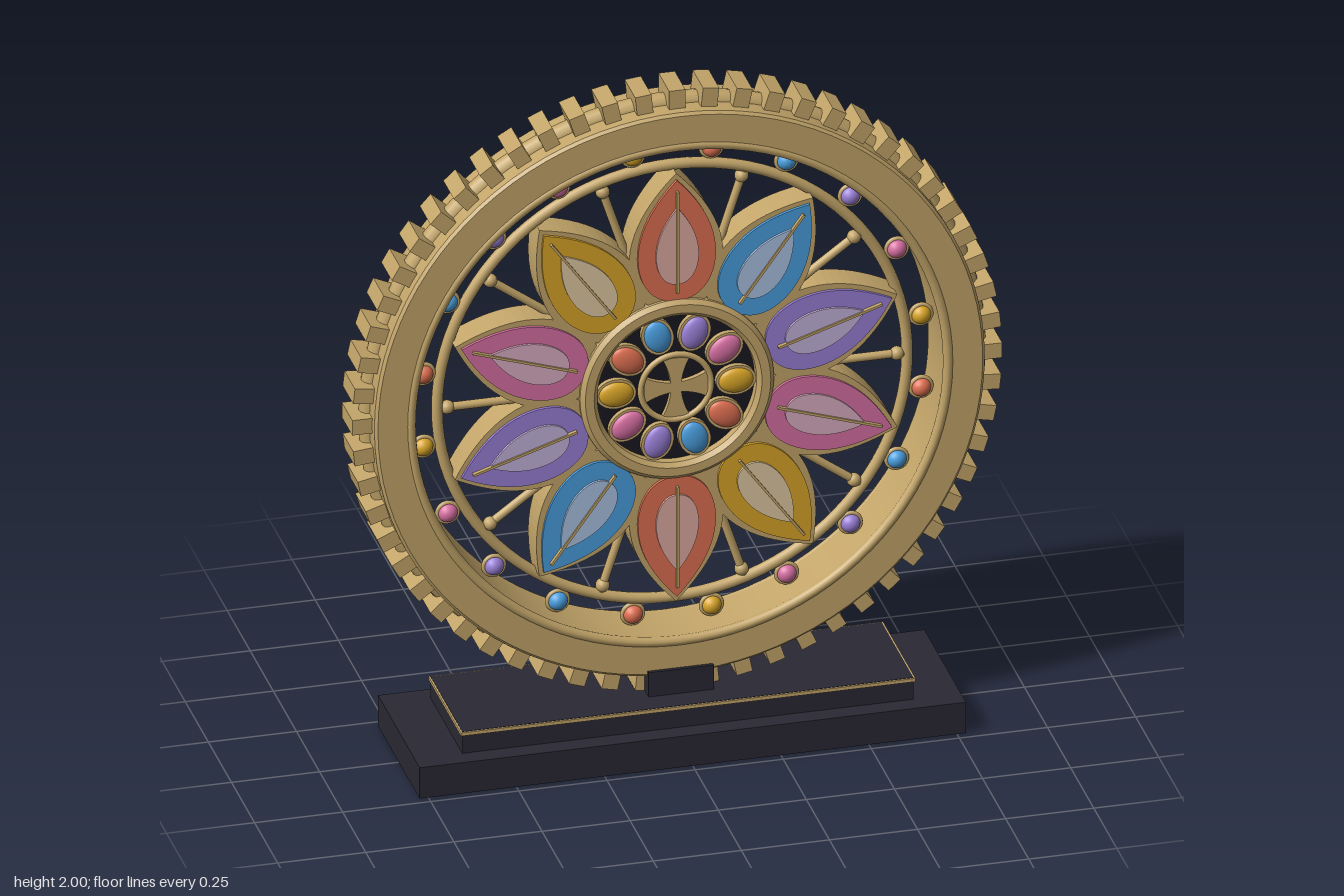
import * as THREE from 'three';

const mat = (color, extra = {}) => new THREE.MeshStandardMaterial({ color, ...extra });
const gold = mat(0xc4a66a);
const dark = mat(0x2a2833);
const black = mat(0x1a1822);
const CORAL = 0, BLUE = 1, PURPLE = 2, PINK = 3, AMBER = 4;
const enamel = [0xe07052, 0x4a9fe0, 0x9a80d8, 0xd870a4, 0xdaa628].map((c) => mat(c));
const pale = [0xe0aca4, 0xacc4e4, 0xc4b4dc, 0xdcaec4, 0xe2cca4].map((c) => mat(c));

function add(parent, name, geometry, material, x = 0, y = 0, z = 0) {
  const mesh = new THREE.Mesh(geometry, material);
  mesh.name = name;
  mesh.position.set(x, y, z);
  parent.add(mesh);
  return mesh;
}

function box(parent, name, w, h, d, material, x = 0, y = 0, z = 0) {
  return add(parent, name, new THREE.BoxGeometry(w, h, d), material, x, y, z);
}

// Repeats a part clockwise around the wheel; each copy is built along +y
function around(parent, name, count, offset, build) {
  for (let i = 0; i < count; i++) {
    const g = new THREE.Group();
    g.name = name;
    g.rotation.z = -(offset + (i / count) * Math.PI * 2);
    build(g, i);
    parent.add(g);
  }
}

// Ring with a chamfered rectangular section, its axis along z
function ringGeometry(inner, outer, half, c) {
  const p = [
    [inner, -half + c], [inner + c, -half], [outer - c, -half], [outer, -half + c],
    [outer, half - c], [outer - c, half], [inner + c, half], [inner, half - c], [inner, -half + c],
  ];
  const parts = new THREE.LatheGeometry(p.map(([r, z]) => new THREE.Vector2(r, z)), 96);
  parts.rotateX(Math.PI / 2);
  return parts;
}

// Pointed petal: rounded foot at r0, widest near the middle, sharp tip at r1
function petalShape(r0, r1, w) {
  const l = r1 - r0;
  const s = new THREE.Shape();
  s.moveTo(0, r0);
  s.bezierCurveTo(w * 0.75, r0, w * 1.05, r0 + l * 0.22, w, r0 + l * 0.42);
  s.bezierCurveTo(w * 0.95, r0 + l * 0.66, w * 0.45, r0 + l * 0.86, 0, r1);
  s.bezierCurveTo(-w * 0.45, r0 + l * 0.86, -w * 0.95, r0 + l * 0.66, -w, r0 + l * 0.42);
  s.bezierCurveTo(-w * 1.05, r0 + l * 0.22, -w * 0.75, r0, 0, r0);
  return s;
}

function slab(shape, z0, z1) {
  const g = new THREE.ExtrudeGeometry(shape, { depth: z1 - z0, bevelEnabled: false, curveSegments: 12 });
  return g.translate(0, 0, z0);
}

function ellipse(cy, rx, ry) {
  return new THREE.Shape().absellipse(0, cy, rx, ry, 0, Math.PI * 2);
}

function buildBase(root) {
  box(root, 'lowerPlinth', 1.55, 0.095, 0.45, dark, 0, 0.0475);
  box(root, 'upperPlinth', 1.28, 0.068, 0.342, dark, 0, 0.128);
  box(root, 'plinthTrim', 1.29, 0.01, 0.352, gold, 0, 0.156);
  box(root, 'wheelCradle', 0.185, 0.08, 0.2, dark, 0, 0.197);
}

function buildRim(wheel) {
  const rim = new THREE.Group();
  rim.name = 'rim';
  wheel.add(rim);
  const body = ringGeometry(0.75, 0.866, 0.09, 0.008);
  const flat = body.toNonIndexed();
  flat.deleteAttribute('normal');
  flat.computeVertexNormals();
  add(rim, 'rimBody', smoothRing(body), gold);
  add(rim, 'outerBead', new THREE.TorusGeometry(0.86, 0.03, 12, 96), gold);
  for (const s of [-1, 1]) {
    add(rim, 'innerLip', new THREE.TorusGeometry(0.763, 0.015, 10, 96), gold, 0, 0, s * 0.08);
  }
  around(rim, 'tooth', 60, 0, (g) => box(g, 'toothBlock', 0.046, 0.07, 0.114, gold, 0, 0.887));

  // Gems in the gap between the rim and the tracery ring
  around(rim, 'rimGem', 20, Math.PI / 20, (g, i) => {
    add(g, 'gemBezel', new THREE.TorusGeometry(0.029, 0.007, 8, 24), gold, 0, 0.715);
    add(g, 'gem', new THREE.SphereGeometry(0.028, 20, 14), enamel[i % 5], 0, 0.715);
  });
}

// Creases the lathe so the faces stay crisp while the circumference is smooth
function smoothRing(geometry) {
  const g = geometry.toNonIndexed();
  const p = g.attributes.position, n = g.attributes.normal;
  const a = new THREE.Vector3(), b = new THREE.Vector3(), c = new THREE.Vector3();
  const v = new THREE.Vector3();
  for (let i = 0; i < p.count; i += 3) {
    a.fromBufferAttribute(p, i);
    b.fromBufferAttribute(p, i + 1);
    c.fromBufferAttribute(p, i + 2);
    const face = b.clone().sub(a).cross(c.clone().sub(a)).normalize();
    const mid = a.clone().add(b).add(c);
    const radial = (face.x * mid.x + face.y * mid.y) / Math.hypot(mid.x, mid.y);
    [a, b, c].forEach((q, k) => {
      const r = Math.hypot(q.x, q.y);
      v.set((q.x / r) * radial, (q.y / r) * radial, face.z).normalize();
      n.setXYZ(i + k, v.x, v.y, v.z);
    });
  }
  return g;
}

function buildTracery(wheel) {
  add(wheel, 'traceryRing', new THREE.TorusGeometry(0.667, 0.016, 12, 96), gold);

  around(wheel, 'spoke', 10, Math.PI / 10, (g) => {
    add(g, 'spokeRod', new THREE.CylinderGeometry(0.012, 0.012, 0.42, 12), gold, 0, 0.45);
    add(g, 'spokeKnob', new THREE.SphereGeometry(0.02, 14, 10), gold, 0, 0.638);
  });

  const frame = slab(petalShape(0.235, 0.66, 0.133), -0.045, 0.045);
  const inlay = slab(petalShape(0.27, 0.642, 0.11), 0.04, 0.054);
  const heart = slab(petalShape(0.325, 0.56, 0.06), 0.05, 0.061);
  around(wheel, 'petal', 10, 0, (g, i) => {
    add(g, 'petalFrame', frame, gold);
    add(g, 'petalInlay', inlay, enamel[i % 5]);
    add(g, 'petalHeart', heart, pale[i % 5]);
    box(g, 'petalVein', 0.007, 0.31, 0.016, gold, 0, 0.455, 0.058);
  });
}

function buildHub(wheel) {
  const hub = new THREE.Group();
  hub.name = 'hub';
  wheel.add(hub);
  add(hub, 'hubRing', smoothRing(ringGeometry(0.226, 0.275, 0.066, 0.012)), gold);
  const disc = new THREE.CylinderGeometry(0.235, 0.235, 0.06, 64).rotateX(Math.PI / 2);
  add(hub, 'hubDisc', disc, black);

  // Oval cabochons in settings that pass through the disc
  const setting = slab(ellipse(0.17, 0.045, 0.057), -0.045, 0.045);
  const order = [PURPLE, PINK, AMBER, CORAL, BLUE];
  around(hub, 'hubCabochon', 10, Math.PI / 10, (g, i) => {
    add(g, 'cabochonSetting', setting, gold);
    const stone = add(g, 'cabochon', new THREE.SphereGeometry(1, 24, 14), enamel[order[i % 5]], 0, 0.17, 0.045);
    stone.scale.set(0.037, 0.049, 0.016);
  });

  // Flared cross inside a small ring
  add(hub, 'crossRing', new THREE.TorusGeometry(0.1, 0.009, 10, 48), gold, 0, 0, 0.042);
  const arm = new THREE.Shape();
  arm.moveTo(-0.014, 0);
  arm.lineTo(0.014, 0);
  arm.quadraticCurveTo(0.016, 0.05, 0.04, 0.09);
  arm.lineTo(-0.04, 0.09);
  arm.quadraticCurveTo(-0.016, 0.05, -0.014, 0);
  const armGeometry = slab(arm, 0.02, 0.045);
  around(hub, 'crossArm', 4, 0, (g) => add(g, 'crossArmPlate', armGeometry, gold));
}

export function createModel() {
  const root = new THREE.Group();
  root.name = 'roseWheelOnStand';
  buildBase(root);
  const wheel = new THREE.Group();
  wheel.name = 'wheel';
  wheel.position.y = 1.079;
  root.add(wheel);
  buildRim(wheel);
  buildTracery(wheel);
  buildHub(wheel);
  return root;
}
